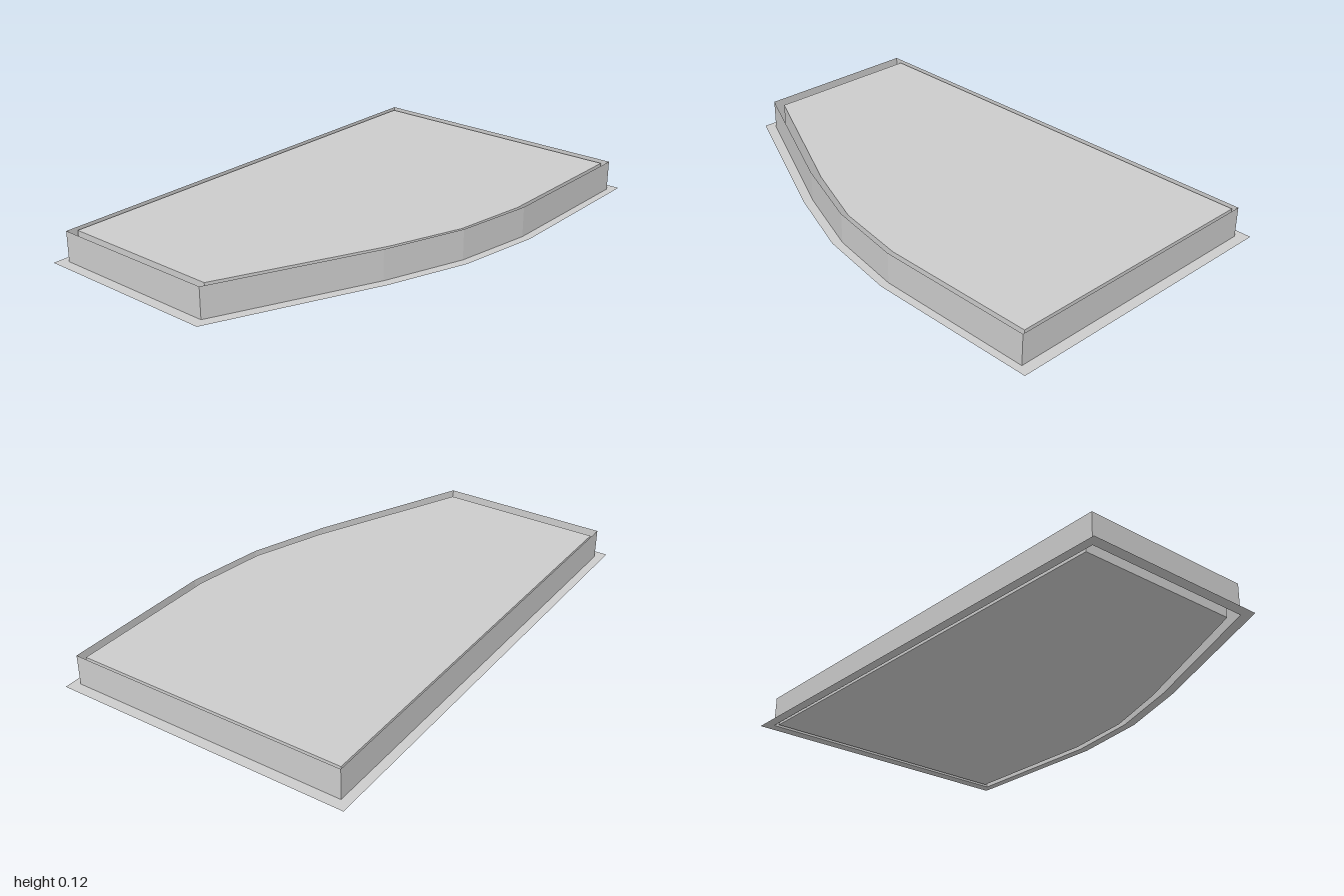
import * as THREE from 'three';

// Plan outlines as [x, z], starting at the back right corner
const OUTER = [[-0.613, -1], [0.603, -1], [0.606, -0.31], [0.553, 0.03], [0.442, 0.35], [0.156, 1], [-0.609, 1]];
const WALL = [[-0.574, -0.957], [0.572, -0.957], [0.572, -0.31], [0.521, 0.01], [0.408, 0.335], [0.13, 0.957], [-0.574, 0.957]];
const SLAB = [[-0.562, -0.938], [0.545, -0.938], [0.545, -0.307], [0.5, -0.005], [0.394, 0.29], [0.109, 0.915], [-0.562, 0.915]];
const WALL_TOP = 0.123;
const SLAB_TOP = 0.115;

const toPoints = (outline) => outline.map(([x, z]) => new THREE.Vector2(x, -z));

// Upright sheet that follows a closed outline
function stripGeometry(outline, height) {
  const positions = [];
  outline.forEach(([ax, az], i) => {
    const [bx, bz] = outline[(i + 1) % outline.length];
    positions.push(ax, 0, az, ax, height, az, bx, height, bz);
    positions.push(ax, 0, az, bx, height, bz, bx, 0, bz);
  });
  const geometry = new THREE.BufferGeometry();
  geometry.setAttribute('position', new THREE.Float32BufferAttribute(positions, 3));
  geometry.computeVertexNormals();
  return geometry;
}

export function createModel() {
  const group = new THREE.Group();
  group.name = 'framedPanel';
  const solid = new THREE.MeshStandardMaterial({ color: 0xcccccc, flatShading: true });
  const sheet = new THREE.MeshStandardMaterial({ color: 0xcccccc, flatShading: true, side: THREE.DoubleSide });

  const add = (name, geometry, material) => {
    const mesh = new THREE.Mesh(geometry, material);
    mesh.name = name;
    group.add(mesh);
  };

  // Flat flange lying around the foot of the wall
  const flangeShape = new THREE.Shape(toPoints(OUTER));
  flangeShape.holes.push(new THREE.Path(toPoints(WALL)));
  add('flange', new THREE.ShapeGeometry(flangeShape).rotateX(-Math.PI / 2), sheet);

  // Thin wall standing on the flange's inner edge
  add('wall', stripGeometry(WALL, WALL_TOP), sheet);

  // Solid slab set inside the wall with a narrow gap
  const slab = new THREE.ExtrudeGeometry(new THREE.Shape(toPoints(SLAB)), { depth: SLAB_TOP, bevelEnabled: false });
  add('slab', slab.rotateX(-Math.PI / 2), solid);

  return group;
}
